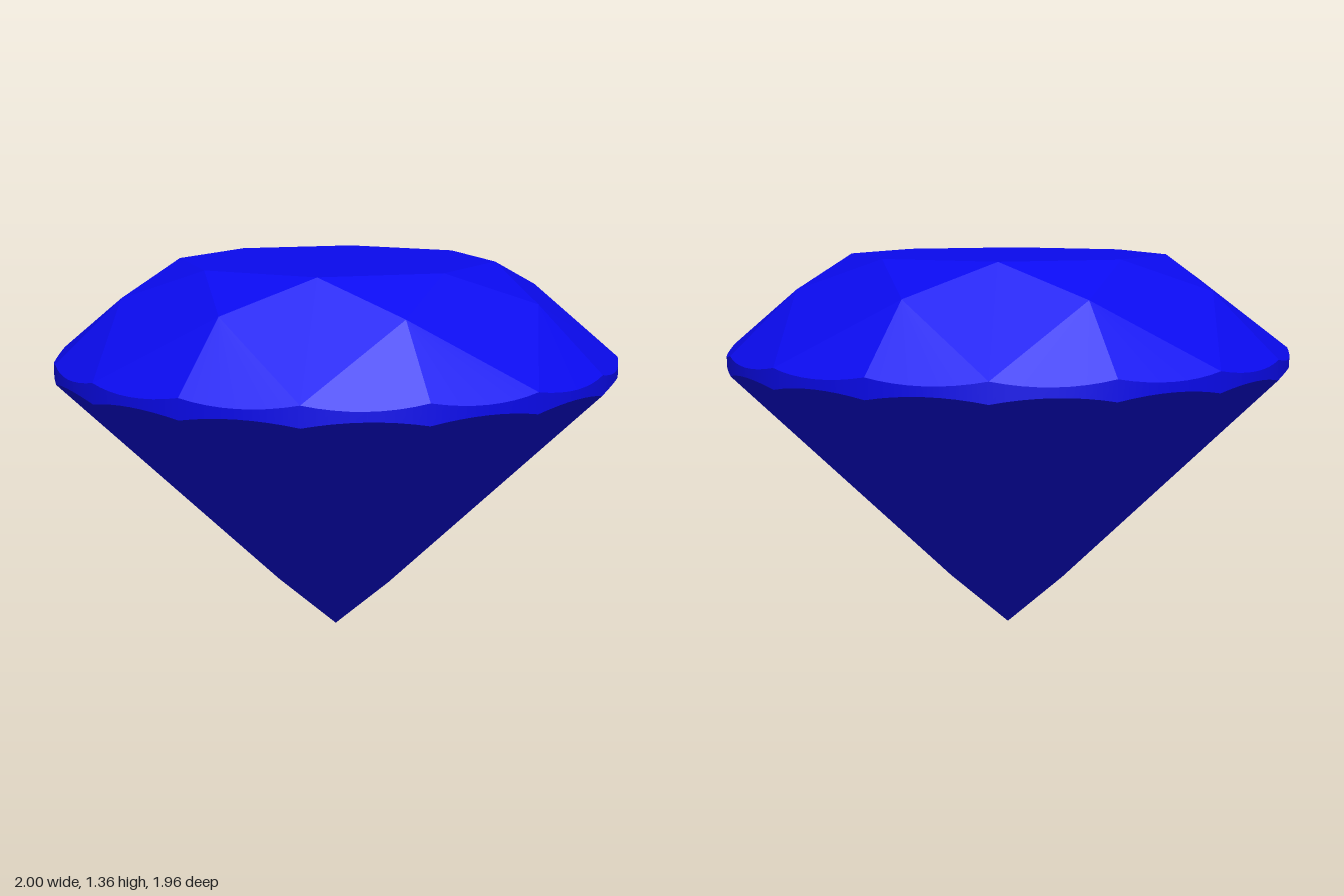
import * as THREE from 'three';

const DEPTH = 0.978;          // slightly oval plan
const STEP = Math.PI / 8;     // 16 divisions round the girdle
const ARC = 8;                // segments per girdle division
const CENTRE = new THREE.Vector3(0, 0.95, 0);

const polar = (r, a, y) => new THREE.Vector3(r * Math.cos(a), y, r * Math.sin(a));

// Flat convex facets as triangle fans, each wound to face away from the centre
function facetMesh(name, facets, material) {
  const pos = [];
  for (const pts of facets) {
    for (let i = 1; i < pts.length - 1; i++) {
      let [a, b, c] = [pts[0], pts[i], pts[i + 1]];
      const n = b.clone().sub(a).cross(c.clone().sub(a));
      if (n.dot(a.clone().sub(CENTRE)) < 0) [b, c] = [c, b];
      for (const p of [a, b, c]) pos.push(p.x, p.y, p.z * DEPTH);
    }
  }
  const geo = new THREE.BufferGeometry();
  geo.setAttribute('position', new THREE.Float32BufferAttribute(pos, 3));
  geo.computeVertexNormals();
  const mesh = new THREE.Mesh(geo, material);
  mesh.name = name;
  return mesh;
}

// Scalloped edge where the plane of a half facet cuts the round girdle
function girdleArc(apex, a0, a1, y) {
  const p0 = polar(1, a0, y), p1 = polar(1, a1, y);
  const n = p1.clone().sub(p0).cross(apex.clone().sub(p0));
  const pts = [];
  for (let i = 0; i <= ARC; i++) {
    const p = polar(1, a0 + (a1 - a0) * i / ARC, 0);
    p.y = y - (n.x * (p.x - p0.x) + n.z * (p.z - p0.z)) / n.y;
    pts.push(p);
  }
  return pts;
}

export function createModel() {
  const gem = new THREE.Group();
  gem.name = 'cutGem';
  const blue = new THREE.MeshStandardMaterial({ color: 0x0a0aee });

  const tableY = 1.36, tableR = 0.562, topY = 1.03, lowY = 0.96;
  const culet = new THREE.Vector3(0, 0, 0);
  // Side corners of the kites lie on the planes of the main facets
  const crownR = 0.767, pavR = 0.22, c = Math.cos(STEP);
  const crownY = tableY - (tableY - topY) * (crownR * c - tableR) / (1 - tableR);
  const pavY = lowY * pavR * c;

  const table = [], stars = [], bezels = [], upperHalves = [], mains = [], lowerHalves = [];
  const upperEdge = [], lowerEdge = [];

  for (let k = 0; k < 8; k++) {
    const a = k * 2 * STEP;
    const kite = polar(crownR, a + STEP, crownY), prevKite = polar(crownR, a - STEP, crownY);
    const pav = polar(pavR, a + STEP, pavY), prevPav = polar(pavR, a - STEP, pavY);
    const corner = polar(tableR, a, tableY);
    table.push(corner);
    stars.push([corner, kite, polar(tableR, a + 2 * STEP, tableY)]);
    bezels.push([corner, prevKite, polar(1, a, topY), kite]);
    mains.push([culet, prevPav, polar(1, a, lowY), pav]);

    // Two half facets either side of each kite corner, above and below
    for (const s of [0, 1]) {
      const a0 = a + s * STEP, a1 = a0 + STEP;
      const up = girdleArc(kite, a0, a1, topY), low = girdleArc(pav, a0, a1, lowY);
      upperHalves.push([kite, ...up]);
      lowerHalves.push([pav, ...low]);
      upperEdge.push(...up.slice(0, ARC));
      lowerEdge.push(...low.slice(0, ARC));
    }
  }

  gem.add(
    facetMesh('table', [table], blue),
    facetMesh('starFacets', stars, blue),
    facetMesh('bezelFacets', bezels, blue),
    facetMesh('upperHalfFacets', upperHalves, blue),
    facetMesh('pavilionMainFacets', mains, blue),
    facetMesh('lowerHalfFacets', lowerHalves, blue)
  );

  // Girdle band with smooth radial normals
  const n = upperEdge.length, pos = [], nor = [], idx = [];
  for (let i = 0; i < n; i++) {
    for (const p of [lowerEdge[i], upperEdge[i]]) {
      pos.push(p.x, p.y, p.z * DEPTH);
      const v = new THREE.Vector3(p.x, 0, p.z / DEPTH).normalize();
      nor.push(v.x, v.y, v.z);
    }
    const l = 2 * i, l2 = 2 * ((i + 1) % n);
    idx.push(l, l + 1, l2, l2, l + 1, l2 + 1);
  }
  const band = new THREE.BufferGeometry();
  band.setAttribute('position', new THREE.Float32BufferAttribute(pos, 3));
  band.setAttribute('normal', new THREE.Float32BufferAttribute(nor, 3));
  band.setIndex(idx);
  const girdle = new THREE.Mesh(band, blue);
  girdle.name = 'girdle';
  gem.add(girdle);

  return gem;
}
